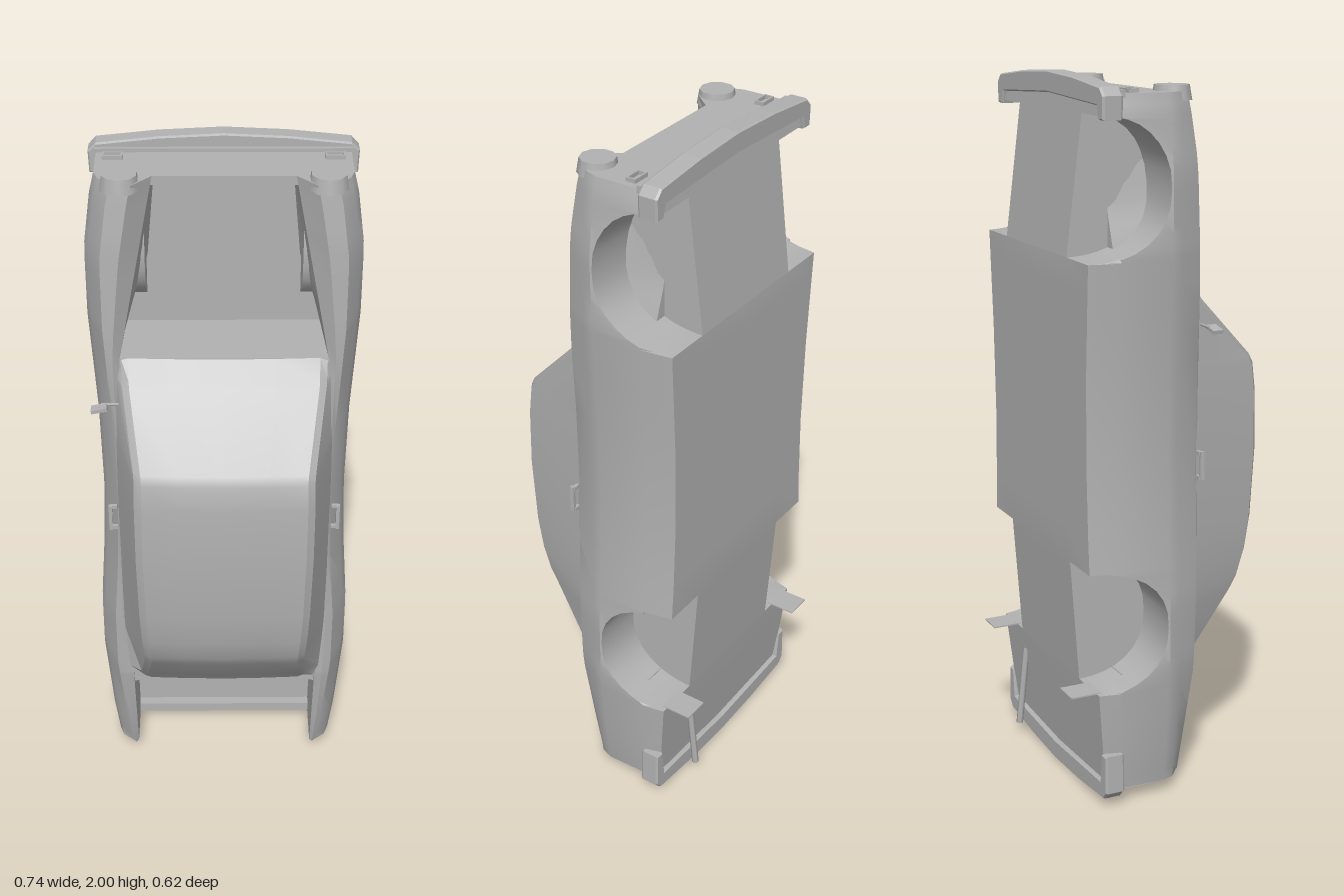
import * as THREE from 'three';
import { toCreasedNormals } from 'three/addons/utils/BufferGeometryUtils.js';

// Piecewise linear interpolation through [position, value] pairs
function lin(t, pts) {
  if (t <= pts[0][0]) return pts[0][1];
  for (let i = 1; i < pts.length; i++) {
    const [a, va] = pts[i - 1], [b, vb] = pts[i];
    if (t <= b) return va + (vb - va) * (t - a) / (b - a);
  }
  return pts[pts.length - 1][1];
}

// Skin mirrored half sections; each is { y, pts: [[x, z], ...] } from top centre outwards
function loft(sections, crease = 0.5) {
  const pos = [], index = [];
  const n = sections[0].pts.length * 2;
  for (const { y, pts } of sections) {
    const left = pts.map(([x, z]) => [-x, z]).reverse();
    for (const [x, z] of [...left, ...pts]) pos.push(x, y, z);
  }
  for (let i = 0; i < sections.length - 1; i++) {
    for (let j = 0; j < n - 1; j++) {
      const a = i * n + j, b = a + 1, c = a + n, d = c + 1;
      index.push(a, b, c, b, d, c);
    }
  }
  const g = new THREE.BufferGeometry();
  g.setAttribute('position', new THREE.Float32BufferAttribute(pos, 3));
  g.setIndex(index);
  return toCreasedNormals(g, crease);
}

// Body curves along the car's length (y)
const width = y => lin(y, [[0.04, 0.33], [0.15, 0.345], [0.4, 0.367], [0.58, 0.367], [0.8, 0.352],
  [1, 0.345], [1.25, 0.35], [1.55, 0.368], [1.75, 0.368], [1.9, 0.348], [1.955, 0.335]]);
const beltZ = y => lin(y, [[0.04, 0.035], [0.35, 0.07], [0.8, 0.08], [1.42, 0.08], [1.8, 0.065], [1.955, 0.05]]);
const floorZ = y => lin(y, [[0.04, -0.21], [0.34, -0.24], [0.69, -0.265], [1.53, -0.268], [1.955, -0.215]]);
const openX = y => lin(y, [[0.04, 0.27], [0.36, 0.275], [1.0, 0.29], [1.46, 0.28], [1.955, 0.185]]);
const openZ = y => lin(y, [[0.04, 0.025], [0.36, 0.065], [1.4, 0.07], [1.46, 0.06], [1.955, -0.01]]);
const bayX = y => lin(y, [[1.46, 0.27], [1.56, 0.24], [1.65, 0.208], [1.955, 0.18]]);
const ARCHES = [{ c: 0.515, r: 0.175 }, { c: 1.715, r: 0.185 }];

// Lower edge of the side panel, raised over the wheels
function sillZ(y) {
  const f = floorZ(y);
  for (const { c, r } of ARCHES) {
    const u = Math.abs(y - c) / r;
    if (u < 1) return f + (-0.04 - f) * Math.pow(1 - Math.pow(u, 2.4), 0.45);
  }
  return f;
}

function bodySection(y, kind) {
  const w = width(y), zt = beltZ(y), zs = sillZ(y), zf = floorZ(y);
  const xi = openX(y), zi = openZ(y), sh = w - 0.045;
  const deck = { tail: -0.11, trunk: -0.14, cabin: zi, bay: -0.15, nose: -0.01 }[kind];
  const dx = kind === 'bay' ? bayX(y) : xi;
  return { y, pts: [
    [0, deck], [dx, deck], [xi, zi], [(xi + sh) / 2, zt], [sh, zt - 0.008],
    [w - 0.012, 0.0], [w, -0.035], [w - 0.004, Math.max(zs, -0.18)],
    [w - 0.02 * (-0.035 - zs) / 0.23, zs],
    [0.21, zs], [0.21, zf], [0, zf]] };
}

function bodyGeometry() {
  const samples = [0.15, 0.25, 0.8, 1, 1.25, 1.4];
  for (const { c, r } of ARCHES) {
    for (const u of [0, 0.25, 0.45, 0.62, 0.77, 0.88, 0.95, 0.985, 0.998, 1]) {
      samples.push(c - u * r);
      if (u) samples.push(c + u * r);
    }
  }
  samples.sort((a, b) => a - b);
  const sections = [];
  const zones = [['tail', 0.04, 0.07], ['trunk', 0.07, 0.36], ['cabin', 0.36, 1.46],
    ['bay', 1.46, 1.93], ['nose', 1.93, 1.955]];
  for (const [kind, a, b] of zones) {
    const ys = [a, ...samples.filter(y => y > a + 1e-4 && y < b - 1e-4), b];
    for (const y of ys) sections.push(bodySection(y, kind));
  }
  // Flat panels closing both ends
  const cap = s => ({ y: s.y, pts: s.pts.map(([x]) => [x, -0.17]) });
  return loft([cap(sections[0]), ...sections, cap(sections[sections.length - 1])]);
}

// Cabin: base width, roof edge and roof height per station
function cabinGeometry() {
  const stations = [[0.35, 0.27, 0.24, 0.08], [0.39, 0.285, 0.25, 0.11], [0.54, 0.295, 0.232, 0.235],
    [0.58, 0.297, 0.232, 0.258], [0.65, 0.298, 0.236, 0.277], [0.75, 0.3, 0.24, 0.291],
    [0.95, 0.3, 0.244, 0.301], [1.12, 0.3, 0.244, 0.298], [1.2, 0.299, 0.242, 0.29],
    [1.225, 0.298, 0.244, 0.277], [1.395, 0.29, 0.275, 0.112], [1.41, 0.289, 0.276, 0.1], [1.46, 0.282, 0.278, 0.06]];
  return loft(stations.map(([y, base, edge, z]) => ({ y, pts: [
    [0, z + 0.008], [edge * 0.5, z + 0.005], [edge - 0.02, z],
    [edge, z - Math.min(0.014, (z - 0.05) * 0.3)], [base, Math.min(0.07, z - 0.01)]] })), 0.45);
}

// Wraparound bumper seen from above, bowed at the middle; dir is +1 at the nose, -1 at the tail
function bumperGeometry(reach, tipY, dir) {
  const outer = [[0.352, tipY - reach], [0.354, tipY - 0.045], [0.335, tipY - 0.025], [0.17, tipY - 0.008], [0, tipY]];
  const inner = [[0, tipY - 0.05], [0.32, tipY - 0.065], [0.33, tipY - reach]];
  const half = [...outer, ...inner];
  const ring = [...outer, ...outer.slice(0, -1).reverse().map(([x, y]) => [-x, y]),
    ...half.slice(5).reverse().slice(0, 2).map(([x, y]) => [-x, y]), ...inner];
  const pts = ring.map(([x, y]) => new THREE.Vector2(x, dir > 0 ? y : 2 - y));
  return new THREE.ExtrudeGeometry(new THREE.Shape(pts), {
    depth: 0.045, bevelEnabled: true, bevelSize: 0.004, bevelThickness: 0.006, bevelSegments: 1 });
}

export function createModel() {
  const model = new THREE.Group();
  const grey = new THREE.MeshStandardMaterial({ color: 0xb2b2b2, side: THREE.DoubleSide });
  grey.name = 'bodyGrey';
  const add = (name, geometry, x = 0, y = 0, z = 0) => {
    const mesh = new THREE.Mesh(geometry, grey);
    mesh.name = name;
    mesh.position.set(x, y, z);
    model.add(mesh);
    return mesh;
  };

  add('bodyShell', bodyGeometry());
  add('cabin', cabinGeometry());
  add('frontBumper', bumperGeometry(0.1, 1.995, 1), 0, 0, -0.224);
  add('rearBumper', bumperGeometry(0.15, 1.995, -1), 0, 0, -0.22);
  // Slim valance ledge above the front bumper
  add('frontLedge', new THREE.BoxGeometry(0.68, 0.02, 0.012), 0, 1.955, -0.165);

  for (const s of [-1, 1]) {
    const side = s > 0 ? 'left' : 'right';
    add(side + 'Headlight', new THREE.CylinderGeometry(0.047, 0.054, 0.04, 10), s * 0.267, 1.951, 0.008);

    // Indicator frame on the nose
    for (const e of [-1, 1]) {
      add(side + 'IndicatorRail', new THREE.BoxGeometry(0.052, 0.012, 0.005), s * 0.29, 1.96, -0.125 + e * 0.012);
      add(side + 'IndicatorEnd', new THREE.BoxGeometry(0.005, 0.012, 0.028), s * 0.29 + e * 0.024, 1.96, -0.125);
    }

    // Door handle: grip and two stems
    add(side + 'DoorHandle', new THREE.BoxGeometry(0.01, 0.08, 0.012), s * 0.322, 0.95, 0.08);
    for (const e of [-1, 1])
      add(side + 'HandleStem', new THREE.BoxGeometry(0.02, 0.01, 0.01), s * 0.313, 0.95 + e * 0.035, 0.076);

    // Boot hinge and mud flap
    const hinge = add(side + 'BootHinge', new THREE.BoxGeometry(0.1, 0.035, 0.03), s * 0.235, 0.335, 0.035);
    hinge.rotation.z = -s * 0.2;
    add(side + 'MudFlap', new THREE.BoxGeometry(0.078, 0.004, 0.09), s * 0.287, 0.34, -0.27);
  }

  // Single door mirror on the right
  const arm = add('mirrorArm', new THREE.CylinderGeometry(0.004, 0.004, 0.05, 6), -0.308, 1.335, 0.092);
  arm.rotation.z = Math.PI / 2;
  const mirror = add('mirror', new THREE.BoxGeometry(0.044, 0.01, 0.03), -0.338, 1.33, 0.105);
  mirror.rotation.z = 0.2;

  // Exhaust pipe under the tail
  const pipe = new THREE.LineCurve3(new THREE.Vector3(0.2, 0.28, -0.232), new THREE.Vector3(0.2, 0.04, -0.258));
  add('exhaustPipe', new THREE.TubeGeometry(pipe, 1, 0.01, 6));
  return model;
}
